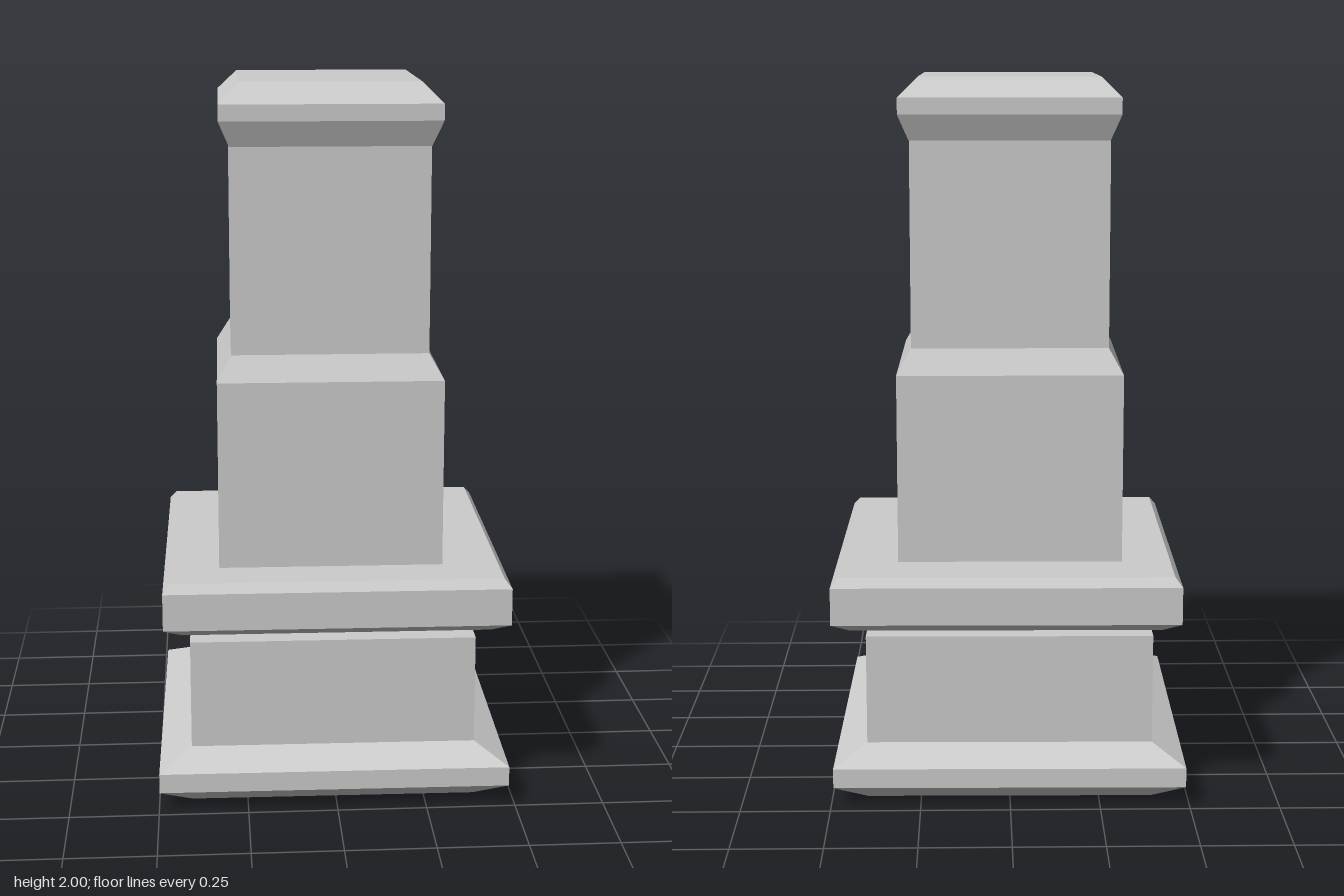
import * as THREE from 'three';

const stone = new THREE.MeshStandardMaterial({ color: 0xcccccc, flatShading: true, side: THREE.DoubleSide });

// Square turned section: profile holds [half width, y] pairs from bottom to top.
function squareSection(name, profile, x, z) {
  const points = profile.map(([half, y]) => new THREE.Vector2(half * Math.SQRT2, y));
  const mesh = new THREE.Mesh(new THREE.LatheGeometry(points, 4, Math.PI / 4), stone);
  mesh.name = name;
  mesh.position.set(x, 0, z);
  return mesh;
}

export function createModel() {
  const pillar = new THREE.Group();
  pillar.name = 'pillar';

  // Hollow plinth with a flared foot, open underneath and closed on top
  pillar.add(squareSection('plinth', [
    [0.4, 0], [0.49, 0.06], [0.49, 0.115], [0.4, 0.16], [0.4, 0.47], [0, 0.47],
  ], -0.003, 0.003));

  // Bevelled collar floating just above the plinth
  pillar.add(squareSection('collar', [
    [0, 0.5], [0.43, 0.5], [0.481, 0.53], [0.481, 0.635], [0.461, 0.66], [0, 0.66],
  ], 0.006, -0.006));

  // Stepped shaft with a chamfered cap
  pillar.add(squareSection('shaft', [
    [0.314, 0.66], [0.314, 1.19], [0.274, 1.26], [0.274, 1.83],
  ], -0.005, 0.007));
  pillar.add(squareSection('cap', [
    [0.274, 1.83], [0.303, 1.9], [0.303, 1.945], [0.248, 2], [0, 2],
  ], -0.004, 0.005));

  // The whole pillar is set very slightly askew
  pillar.rotation.y = -0.01;

  const model = new THREE.Group();
  model.name = 'squarePillar';
  model.add(pillar);
  return model;
}
